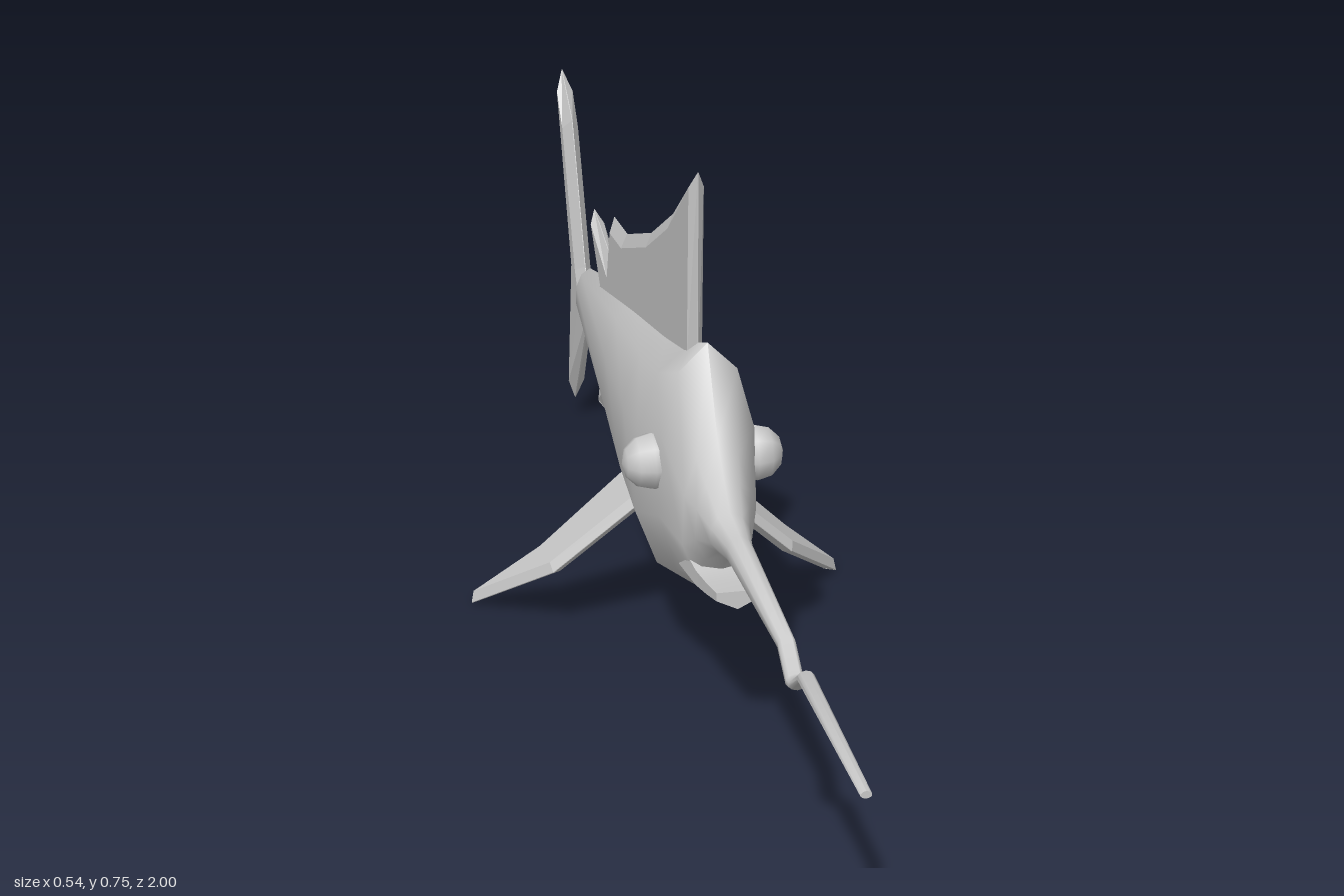
import * as THREE from 'three';
import { toCreasedNormals } from 'three/addons/utils/BufferGeometryUtils.js';

const material = new THREE.MeshStandardMaterial({ color: 0xcccccc });

function addMesh(group, name, geometry) {
  const mesh = new THREE.Mesh(geometry, material);
  mesh.name = name;
  group.add(mesh);
  return mesh;
}

// Skin a closed cross-section (clockwise from the front) through rings of
// [z, top, bottom, halfWidth], listed from back to front.
function loft(section, rings, crease) {
  const n = section.length, positions = [], index = [];
  for (const [z, top, bottom, w] of rings) {
    for (const [x, y] of section) {
      positions.push(x * w, (top + bottom) / 2 + y * (top - bottom) / 2, z);
    }
  }
  for (let i = 0; i < rings.length - 1; i++) {
    for (let j = 0; j < n; j++) {
      const a = i * n + j, b = i * n + (j + 1) % n;
      index.push(a, a + n, b, b, a + n, b + n);
    }
  }
  const last = (rings.length - 1) * n;
  for (let j = 1; j < n - 1; j++) {
    index.push(0, j, j + 1, last, last + j + 1, last + j);
  }
  const g = new THREE.BufferGeometry();
  g.setAttribute('position', new THREE.Float32BufferAttribute(positions, 3));
  g.setIndex(index);
  g.computeVertexNormals();
  return toCreasedNormals(g, crease);
}

// Thin plate with sharpened edges; outline points are [z, distance along dir].
function fin(outline, halfThickness, inset, dir = new THREE.Vector3(0, 1, 0)) {
  const shape = new THREE.Shape(outline.map(([z, v]) => new THREE.Vector2(z, v)));
  const g = new THREE.ExtrudeGeometry(shape, {
    depth: 0.001, bevelEnabled: true, bevelSegments: 1,
    bevelThickness: halfThickness, bevelSize: inset, bevelOffset: -inset,
  });
  const along = new THREE.Vector3(0, 0, 1);
  const side = along.clone().cross(dir);
  return g.applyMatrix4(new THREE.Matrix4().makeBasis(along, dir, side));
}

export function createModel() {
  const fish = new THREE.Group();
  fish.name = 'billfish';

  // Body, upper jaw and kinked bill in one skin
  const half = [[0.6, 0.78], [0.95, 0.3], [1, -0.35], [0.62, -0.8]];
  const bodySection = [[0, 1], ...half, [0, -1],
    ...half.map(([x, y]) => [-x, y]).reverse()];
  addMesh(fish, 'bodyAndBill', loft(bodySection, [
    [-0.805, 0.285, 0.245, 0.012],
    [-0.77, 0.312, 0.23, 0.023],
    [-0.4, 0.4, 0.172, 0.05],
    [-0.15, 0.455, 0.15, 0.072],
    [0, 0.493, 0.132, 0.08],
    [0.105, 0.535, 0.168, 0.068],
    [0.17, 0.42, 0.2, 0.048],
    [0.205, 0.385, 0.25, 0.038],
    [0.25, 0.35, 0.288, 0.027],
    [0.31, 0.343, 0.3, 0.018],
    [0.585, 0.328, 0.308, 0.012],
    [0.632, 0.299, 0.279, 0.012],
    [0.648, 0.302, 0.284, 0.012],
    [0.69, 0.332, 0.315, 0.011],
    [1, 0.327, 0.317, 0.007],
  ], 1.5));

  // Lower jaw with a keeled underside
  const jawSection = [[-1, 1], [1, 1], [1, 0.1], [0, -1], [-1, 0.1]];
  addMesh(fish, 'lowerJaw', loft(jawSection, [
    [0.1, 0.26, 0.172, 0.045],
    [0.2, 0.246, 0.198, 0.036],
    [0.25, 0.25, 0.214, 0.032],
    [0.3, 0.258, 0.232, 0.029],
  ], 0.6));

  // Sail and the small spike behind it
  addMesh(fish, 'dorsalFin', fin([
    [0.04, 0.46], [-0.66, 0.3], [-0.65, 0.335], [-0.725, 0.425], [-0.585, 0.395],
    [-0.56, 0.472], [-0.46, 0.482], [-0.275, 0.552], [-0.12, 0.637], [0.045, 0.755],
  ], 0.01, 0.02));

  addMesh(fish, 'tailFin', fin([
    [-0.77, 0.25], [-0.81, 0.3], [-0.91, 0.505], [-0.998, 0.56],
    [-0.89, 0.28], [-0.912, 0.038],
  ], 0.012, 0.026));

  addMesh(fish, 'analFin', fin([
    [-0.52, 0.25], [-0.66, 0.25], [-0.645, 0.19], [-0.66, 0.128],
    [-0.645, 0.128], [-0.56, 0.19],
  ], 0.01, 0.015));

  // Paired pectoral fins and eyes
  for (const [label, s] of [['left', 1], ['right', -1]]) {
    const pectoral = addMesh(fish, label + 'PectoralFin', fin([
      [-0.08, -0.02], [-0.19, -0.02], [-0.217, 0.15], [-0.28, 0.285],
      [-0.263, 0.295], [-0.13, 0.155],
    ], 0.01, 0.012, new THREE.Vector3(s * 0.7, -0.714, 0)));
    pectoral.position.set(s * 0.065, 0.215, 0);

    const eye = addMesh(fish, label + 'Eye', new THREE.SphereGeometry(0.041, 8, 6));
    eye.rotation.z = -s * Math.PI / 2;
    eye.position.set(s * 0.071, 0.355, 0.073);
  }
  return fish;
}
